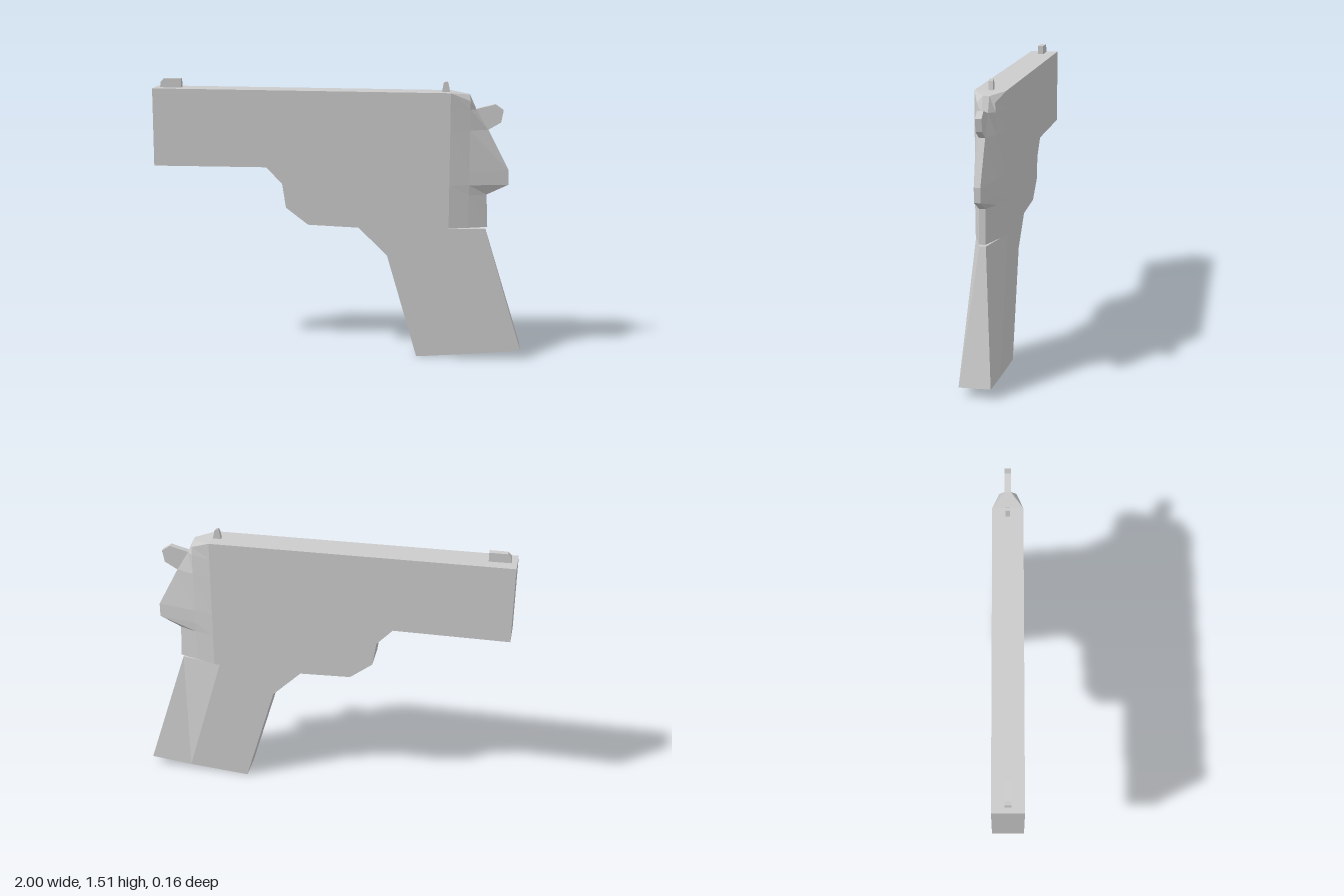
import * as THREE from 'three';

const material = new THREE.MeshStandardMaterial({ color: 0xcccccc, flatShading: true });
const HALF = 0.08; // half thickness of the body
const THIN = 0.016; // half thickness of the spine, hammer and front sight

// Flat plate: a side outline extruded evenly about z = 0
function plate(name, points, half) {
  const shape = new THREE.Shape(points.map(([x, y]) => new THREE.Vector2(x, y)));
  const geometry = new THREE.ExtrudeGeometry(shape, { depth: half * 2, bevelEnabled: false });
  geometry.translate(0, 0, -half);
  const mesh = new THREE.Mesh(geometry, material);
  mesh.name = name;
  return mesh;
}

// Solid from stacked rows, top to bottom; each row lists [x, y, halfWidth]
// from front to back and is mirrored across z = 0
function loft(name, rows, cap) {
  const rings = rows.map((row) => [
    ...row.map(([x, y, w]) => [x, y, w]),
    ...[...row].reverse().map(([x, y, w]) => [x, y, -w]),
  ]);
  const n = rings[0].length;
  const positions = [];
  const tri = (a, b, c) => positions.push(...a, ...b, ...c);
  for (let r = 0; r < rings.length - 1; r++) {
    const top = rings[r], low = rings[r + 1];
    for (let i = 0; i < n; i++) {
      const j = (i + 1) % n;
      tri(top[i], low[i], low[j]);
      tri(top[i], low[j], top[j]);
    }
  }
  const first = rings[0], last = rings[rings.length - 1];
  for (const [a, b, c] of cap) {
    tri(first[a], first[b], first[c]);
    tri(last[a], last[c], last[b]);
  }
  const geometry = new THREE.BufferGeometry();
  geometry.setAttribute('position', new THREE.Float32BufferAttribute(positions, 3));
  geometry.computeVertexNormals();
  const mesh = new THREE.Mesh(geometry, material);
  mesh.name = name;
  return mesh;
}

export function createModel() {
  const group = new THREE.Group();
  group.name = 'pistol';

  // Slide, frame and front half of the grip in one slab
  group.add(plate('body', [
    [-1, 1.46], [-1, 1.04], [-0.385, 1.04], [-0.3, 0.95], [-0.28, 0.82],
    [-0.16, 0.728], [0.115, 0.717], [0.27, 0.565], [0.435, 0], [0.77, 0.026],
    [0.57, 0.72], [0.6, 0.72], [0.6, 1.45],
  ], HALF));

  // Rear half of the grip, its spine widening towards the base
  group.add(loft('gripBack', [
    [[0.57, 0.72, HALF], [0.797, 0.71, THIN]],
    [[0.77, 0.026, HALF], [1, 0.05, HALF]],
  ], [[0, 1, 2], [0, 2, 3]]));

  // Rear of the frame, tapering to a thin spine with a projecting tang
  const spine = [
    // y, spine x, width at the middle crease
    [1.36, 0.735, 0.048], [1.25, 0.8, 0.05], [1.03, 0.915, 0.055],
    [0.955, 0.915, 0.055], [0.9, 0.8, 0.052], [0.722, 0.808, 0.05],
  ];
  group.add(loft('frameBack', [
    [[0.6, 1.45, HALF], [0.705, 1.405, 0.045], [0.7, 1.437, THIN]],
    ...spine.map(([y, x, mid]) => [[0.6, y, HALF], [0.705, y, mid], [x, y, THIN]]),
  ], [[0, 1, 2], [0, 2, 3], [0, 3, 5], [3, 4, 5]]));

  // Hammer
  group.add(plate('hammer', [
    [0.7, 1.3], [0.8, 1.25], [0.868, 1.29], [0.88, 1.355], [0.835, 1.386], [0.735, 1.36],
  ], THIN));

  // Sights
  group.add(plate('frontSight', [
    [-0.972, 1.45], [-0.855, 1.45], [-0.855, 1.508], [-0.95, 1.508], [-0.967, 1.49],
  ], THIN));
  group.add(plate('rearSight', [
    [0.55, 1.44], [0.597, 1.44], [0.585, 1.495], [0.578, 1.503], [0.567, 1.503], [0.56, 1.495],
  ], 0.011));

  return group;
}
